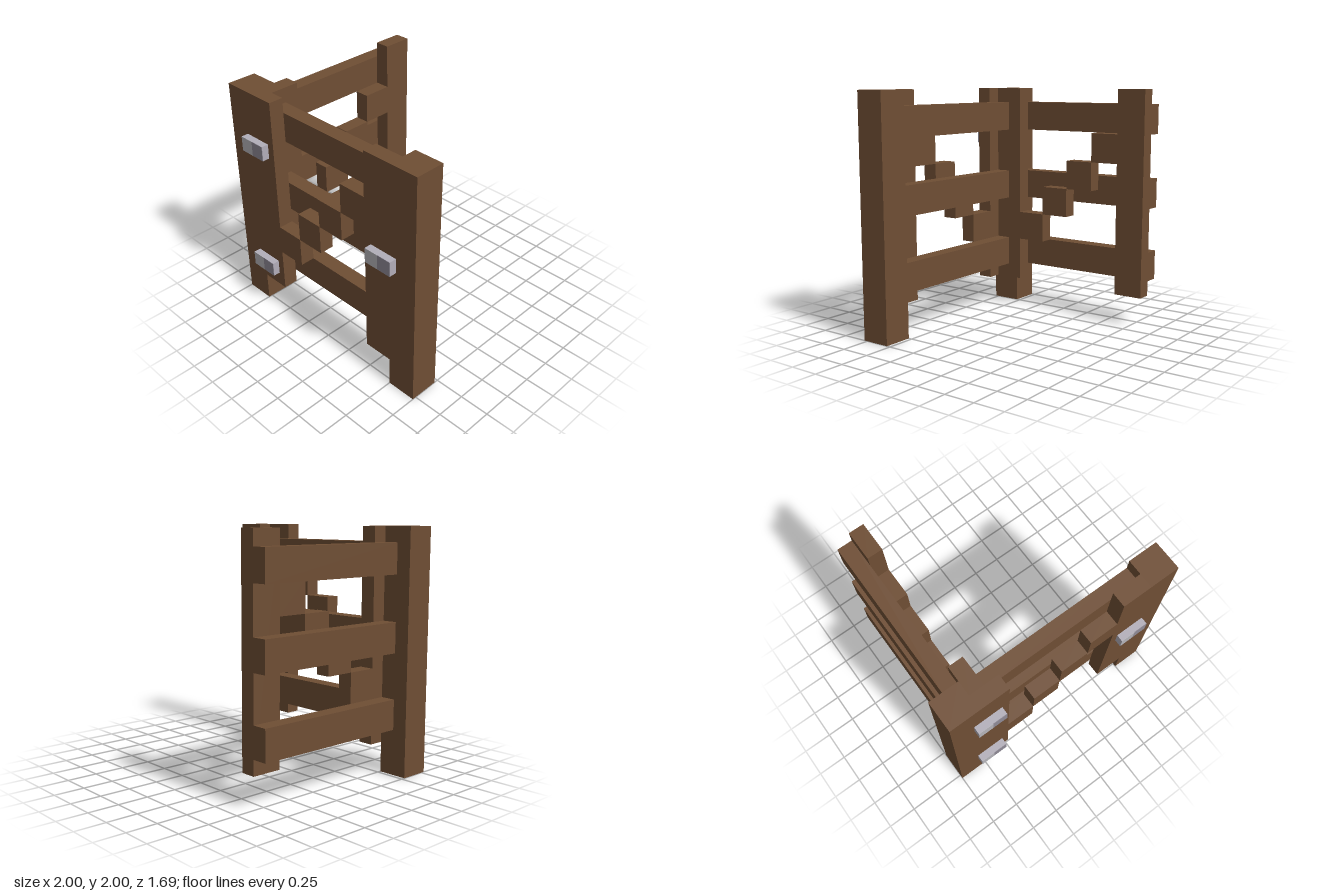
import * as THREE from 'three';

const wood = new THREE.MeshStandardMaterial({ color: 0x6f4e34 });
wood.name = 'brown wood';
const metal = new THREE.MeshStandardMaterial({ color: 0xb2aeb9 });
metal.name = 'pale metal';
const metalLight = new THREE.MeshStandardMaterial({ color: 0xb5b4ba });
metalLight.name = 'light metal';
const metalDark = new THREE.MeshStandardMaterial({ color: 0x8f8a96 });
metalDark.name = 'dark metal';

// Box given by its limits on each axis
function block(parent, name, [x0, x1], [y0, y1], [z0, z1], material = wood) {
  const mesh = new THREE.Mesh(new THREE.BoxGeometry(x1 - x0, y1 - y0, z1 - z0), material);
  mesh.position.set((x0 + x1) / 2, (y0 + y1) / 2, (z0 + z1) / 2);
  mesh.name = name;
  parent.add(mesh);
}

const RAIL_HEIGHTS = [0.375, 1, 1.625];
const BACK = 0.53125, MID = 0.65625, FRONT = 0.78125, END = -0.84375;

function frontPanel() {
  const g = new THREE.Group();
  g.name = 'frontPanel';
  // Posts and the uprights beside them
  for (const s of [-1, 1]) {
    const span = (a, b) => (s > 0 ? [a, b] : [-b, -a]);
    block(g, 'post', span(0.75, 1), [0, 2], [BACK, FRONT]);
    block(g, 'upright', span(0.5, 0.75), [0.25, 2], [MID, FRONT]);
  }
  // Rails behind, stepped brace in front
  for (const y of RAIL_HEIGHTS) block(g, 'rail', [-0.625, 0.75], [y, y + 0.25], [BACK, MID]);
  for (let i = 0; i < 4; i++) {
    const x = -0.5 + i * 0.25, y = 0.625 + i * 0.25;
    block(g, 'braceStep', [x, x + 0.25], [y, y + 0.25], [MID, FRONT]);
  }
  return g;
}

function sidePanel() {
  const g = new THREE.Group();
  g.name = 'sidePanel';
  const inner = [-0.75, -0.625], outer = [-0.875, -0.75];
  block(g, 'cornerUpright', inner, [0.25, 2], [0.40625, MID]);
  block(g, 'endUpright', inner, [0.25, 2], [END, END + 0.25]);
  // Rails outside, stepped brace inside
  for (const y of RAIL_HEIGHTS) block(g, 'rail', outer, [y, y + 0.25], [END, BACK]);
  for (let i = 0; i < 4; i++) {
    const z = 0.40625 - i * 0.25, y = 0.625 + i * 0.25;
    block(g, 'braceStep', inner, [y, y + 0.25], [z - 0.25, z]);
  }
  return g;
}

// Small metal fitting with a two-tone face
function fitting(name, x, y) {
  const g = new THREE.Group();
  g.name = name;
  const face = FRONT + 0.0585, tip = FRONT + 0.0625;
  block(g, 'fittingBody', [x - 0.125, x + 0.125], [y, y + 0.125], [FRONT, face], metal);
  block(g, 'lightFace', [x - 0.125, x], [y, y + 0.125], [face, tip], metalLight);
  block(g, 'darkFace', [x, x + 0.125], [y, y + 0.125], [face, tip], metalDark);
  return g;
}

export function createModel() {
  const model = new THREE.Group();
  model.name = 'woodenGate';
  model.add(frontPanel(), sidePanel());
  model.add(fitting('upperHinge', -0.6875, 1.5));
  model.add(fitting('lowerHinge', -0.6875, 0.375));
  model.add(fitting('latch', 0.6875, 1.125));
  return model;
}
